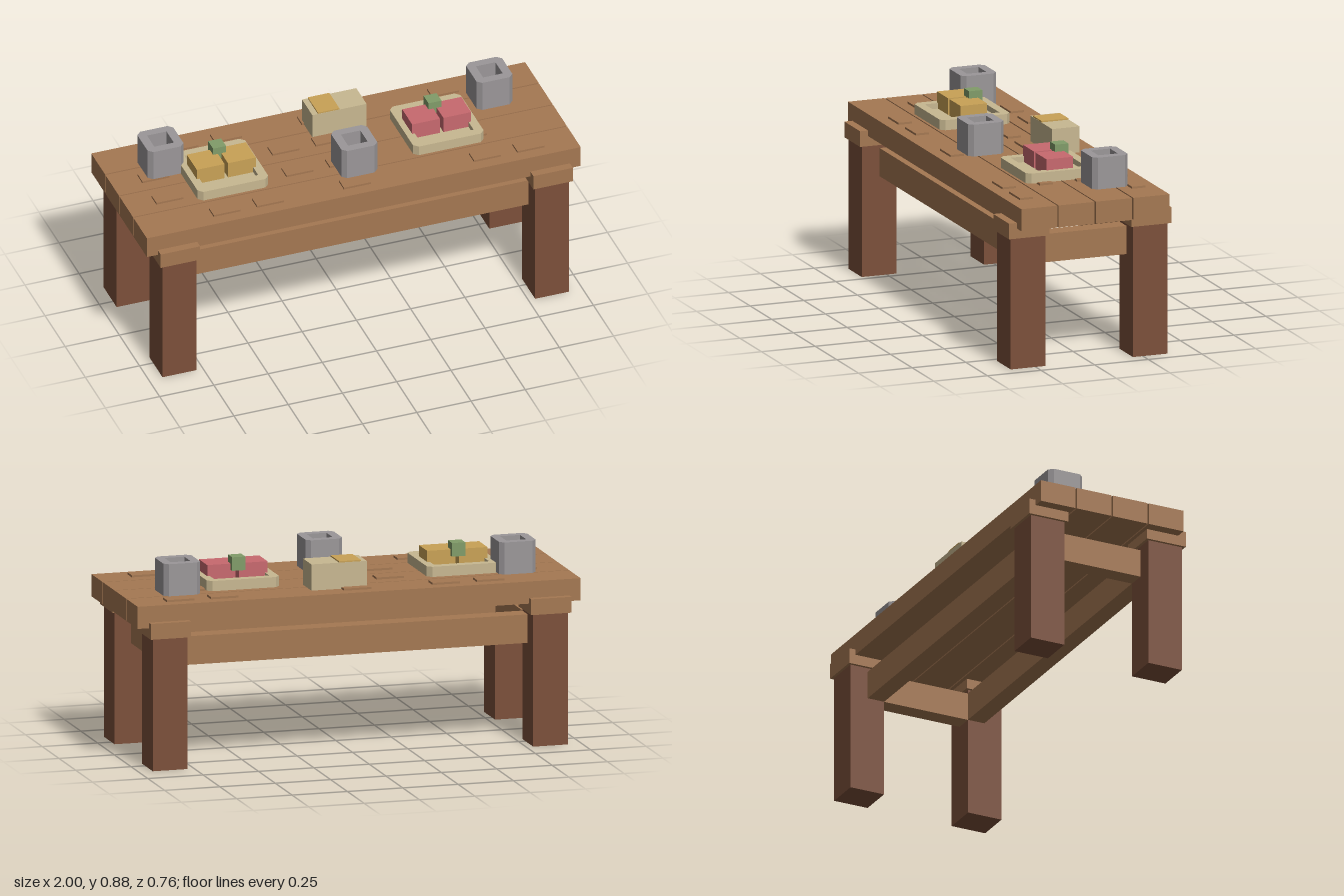
import * as THREE from 'three';

const mat = (name, color) => {
  const m = new THREE.MeshStandardMaterial({ color });
  m.name = name;
  return m;
};

export function createModel() {
  const model = new THREE.Group();
  model.name = 'laidTable';
  const wood = mat('plankWood', 0xa57852);
  const darkWood = mat('legWood', 0x7c503a);
  const grey = mat('cupGrey', 0x9b9799);
  const tan = mat('plateTan', 0xc8b891);
  const yellow = mat('foodYellow', 0xc9a256);
  const red = mat('foodRed', 0xc8696f);
  const green = mat('garnishGreen', 0x819c69);

  // Box given by its min and max on each axis
  const box = (name, m, x0, x1, y0, y1, z0, z1, parent = model) => {
    const mesh = new THREE.Mesh(new THREE.BoxGeometry(x1 - x0, y1 - y0, z1 - z0), m);
    mesh.position.set((x0 + x1) / 2, (y0 + y1) / 2, (z0 + z1) / 2);
    mesh.name = name;
    parent.add(mesh);
    return mesh;
  };

  // Square ring with clipped outer corners, standing on y = 0
  const ring = (name, m, half, clip, hole, height, parent) => {
    const s = new THREE.Shape();
    const a = half, b = half - clip;
    s.setFromPoints([[-b, -a], [b, -a], [a, -b], [a, b], [b, a], [-b, a], [-a, b], [-a, -b]]
      .map(([x, y]) => new THREE.Vector2(x, y)));
    s.holes.push(new THREE.Path([[-hole, -hole], [-hole, hole], [hole, hole], [hole, -hole]]
      .map(([x, y]) => new THREE.Vector2(x, y))));
    const g = new THREE.ExtrudeGeometry(s, { depth: height, bevelEnabled: false });
    g.rotateX(-Math.PI / 2);
    const mesh = new THREE.Mesh(g, m);
    mesh.name = name;
    parent.add(mesh);
  };

  // Table top planks with rows of raised pegs
  const top = 0.728;
  [0.258, 0.084, -0.09, -0.265].forEach((z, i) => {
    box('plank', wood, -1, 1, 0.63, top, z - 0.084, z + 0.084);
    const slots = i === 0 || i === 3 ? [1, 2, 4, 7, 8] : [0, 3, 4, 7];
    for (const k of slots) {
      const x = -0.81 + 0.2 * k;
      box('peg', wood, x - 0.062, x + 0.062, top - 0.01, 0.737, z - 0.031, z + 0.031);
    }
  });

  // Legs with wider caps
  for (const sx of [-1, 1]) {
    for (const sz of [-1, 1]) {
      const x = 0.859 * sx, z = 0.285 * sz;
      box('leg', darkWood, x - 0.078, x + 0.078, 0, 0.59, z - 0.081, z + 0.081);
      box('legCap', wood, x - 0.091, x + 0.091, 0.585, 0.655, z - 0.094, z + 0.094);
    }
  }

  // Rails between the legs
  for (const s of [-1, 1]) {
    const z = 0.243 * s, x = 0.822 * s;
    box('longRail', wood, -0.79, 0.79, 0.442, 0.568, z - 0.04, z + 0.04);
    box('endRail', wood, x - 0.04, x + 0.04, 0.442, 0.568, -0.206, 0.206);
  }

  // Hollow cups
  for (const [x, z] of [[-0.758, -0.142], [0.758, -0.142], [0.03, 0.142]]) {
    const cup = new THREE.Group();
    cup.name = 'cup';
    cup.position.set(x, 0.737, z);
    ring('cupWall', grey, 0.083, 0.02, 0.045, 0.142, cup);
    box('cupFloor', grey, -0.045, 0.045, 0, 0.035, -0.045, 0.045, cup);
    model.add(cup);
  }

  // Rimmed plates with two food blocks and a garnish
  for (const [x, food] of [[-0.53, yellow], [0.463, red]]) {
    const plate = new THREE.Group();
    plate.name = 'plate';
    plate.position.set(x, 0.733, 0);
    ring('plateRim', tan, 0.163, 0.02, 0.124, 0.045, plate);
    box('plateFloor', tan, -0.125, 0.125, 0, 0.02, -0.125, 0.125, plate);
    for (const s of [-1, 1]) {
      box('foodBlock', food, 0.072 * s - 0.064, 0.072 * s + 0.064, 0.02, 0.094, -0.062, 0.062, plate);
    }
    box('garnish', green, -0.03, 0.03, 0.066, 0.126, -0.083, -0.021, plate);
    model.add(plate);
  }

  // Loaf with a yellow strip on top
  box('loaf', tan, -0.062, 0.188, 0.729, 0.845, -0.258, -0.13);
  box('loafStrip', yellow, -0.036, 0.063, 0.844, 0.851, -0.257, -0.131);

  return model;
}
